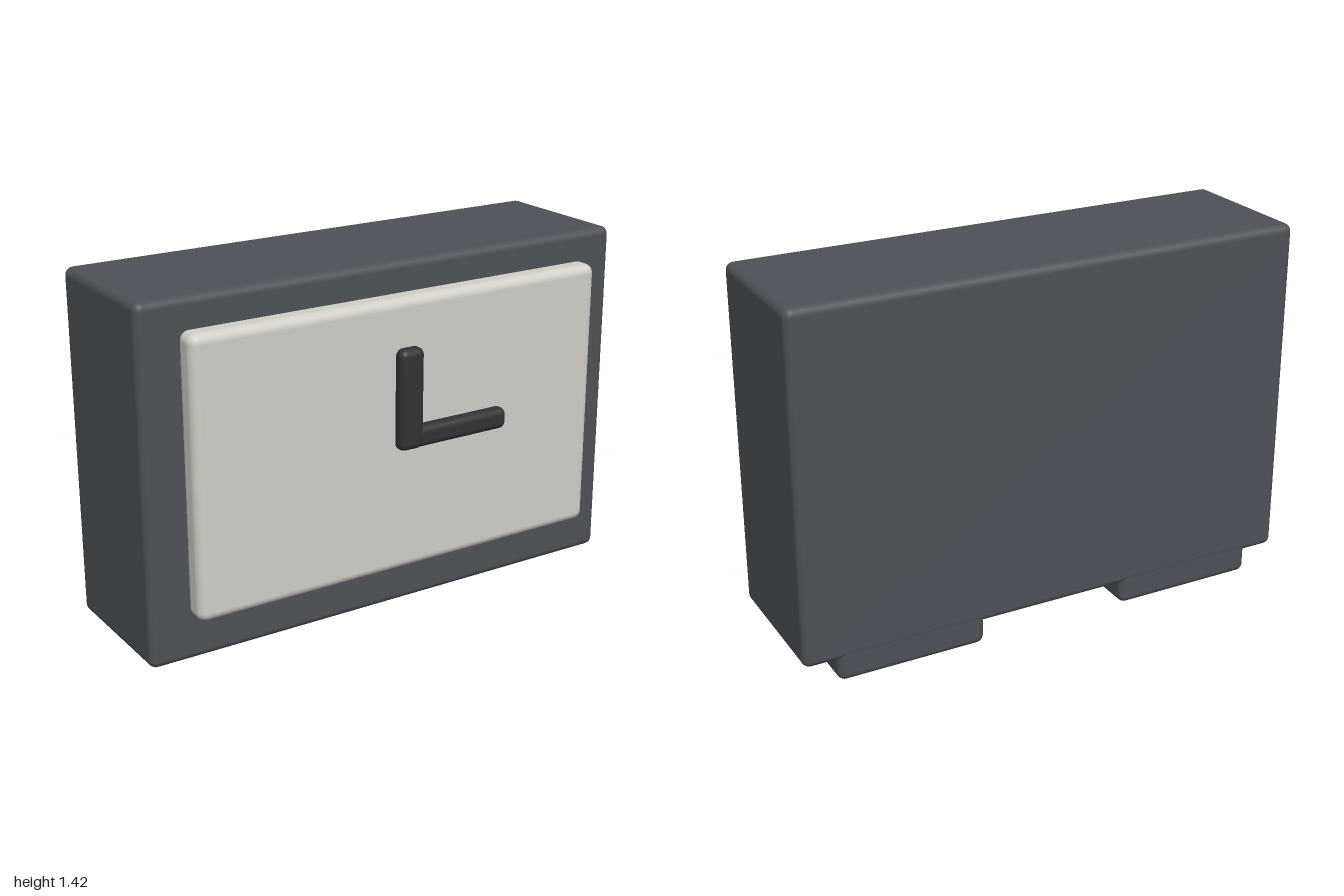
import * as THREE from 'three';
import { RoundedBoxGeometry } from 'three/addons/geometries/RoundedBoxGeometry.js';

const paint = (name, color) => {
  const m = new THREE.MeshStandardMaterial({ color });
  m.name = name;
  return m;
};

// Rounded block given by its minimum and maximum corners
function block(name, material, min, max, radius) {
  const size = max.map((v, i) => v - min[i]);
  const mesh = new THREE.Mesh(new RoundedBoxGeometry(...size, 4, radius), material);
  mesh.position.set(...max.map((v, i) => (v + min[i]) / 2));
  mesh.name = name;
  return mesh;
}

export function createModel() {
  const slate = paint('slate grey', 0x4d5157);
  const ivory = paint('pale ivory', 0xd0cec6);
  const black = paint('soft black', 0x313332);
  const clock = new THREE.Group();
  clock.name = 'deskClock';

  // Case and raised dial
  clock.add(block('case', slate, [-1, 0.09, -0.36], [1, 1.42, 0.22], 0.03));
  clock.add(block('dial', ivory, [-0.855, 0.275, 0.22], [0.85, 1.315, 0.322], 0.035));

  // Hands, slightly sunk into the dial
  clock.add(block('minuteHand', black, [-0.053, 0.755, 0.295], [0.049, 1.135, 0.364], 0.026));
  clock.add(block('hourHand', black, [-0.05, 0.757, 0.295], [0.42, 0.838, 0.363], 0.026));

  // Feet, flush with the back and reaching into the case
  for (const [name, x] of [['rightFoot', -0.585], ['leftFoot', 0.58]]) {
    clock.add(block(name, slate, [x - 0.29, 0, -0.359], [x + 0.29, 0.16, 0.055], 0.03));
  }
  return clock;
}
